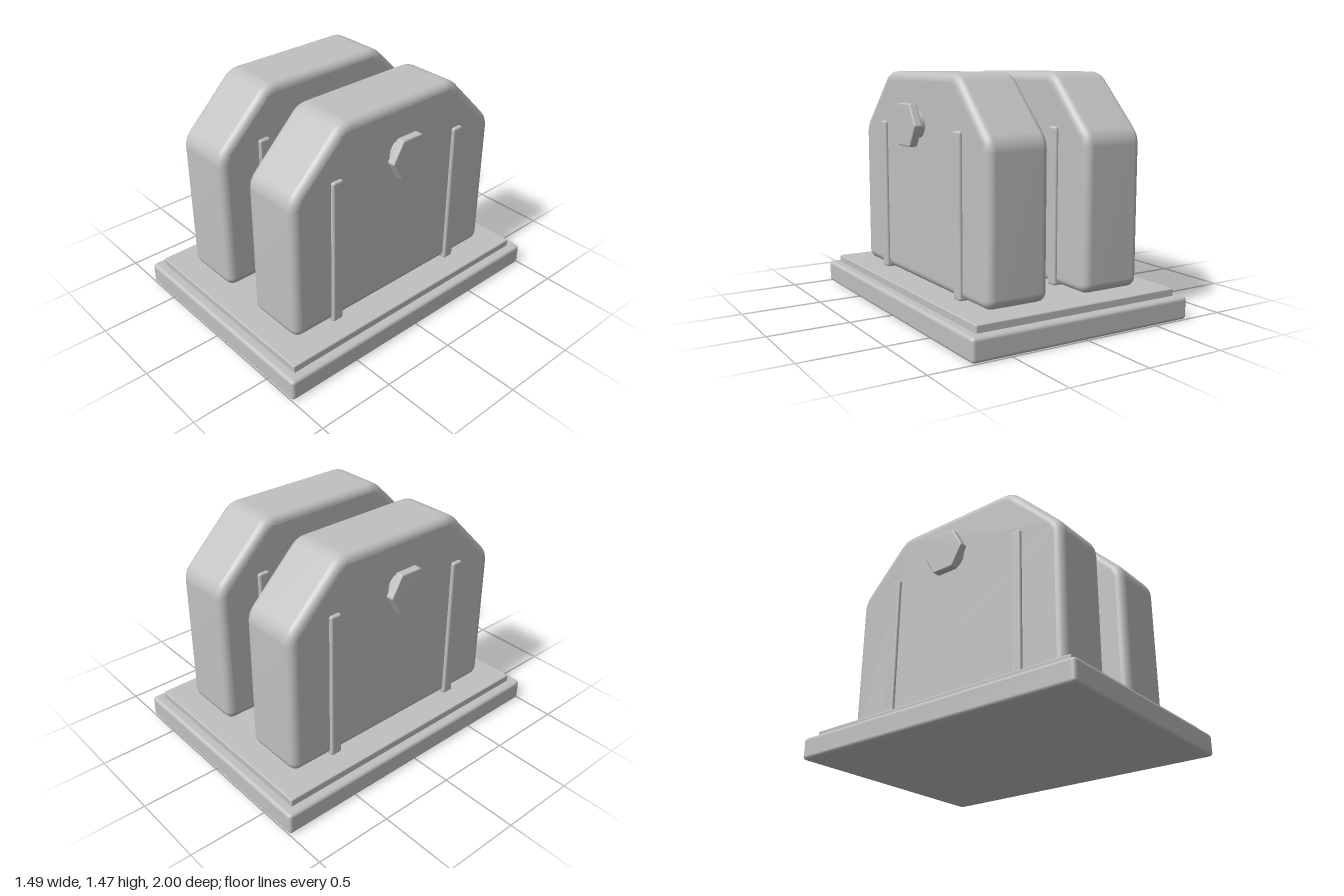
import * as THREE from 'three';
import { mergeVertices } from 'three/addons/utils/BufferGeometryUtils.js';
import { RoundedBoxGeometry } from 'three/addons/geometries/RoundedBoxGeometry.js';

const steel = new THREE.MeshStandardMaterial({ color: 0xc0c0c0 });
steel.name = 'grey steel';

function part(name, geometry, x = 0, y = 0, z = 0) {
  const mesh = new THREE.Mesh(geometry, steel);
  mesh.name = name;
  mesh.position.set(x, y, z);
  return mesh;
}

// Closed outline whose corners [x, y, cut] are rounded over the given cut length
function roundedShape(corners) {
  const shape = new THREE.Shape();
  const n = corners.length;
  corners.forEach(([x, y, cut], i) => {
    const corner = new THREE.Vector2(x, y);
    const toward = ([px, py]) =>
      new THREE.Vector2(px, py).sub(corner).setLength(cut).add(corner);
    const a = toward(corners[(i + n - 1) % n]);
    const b = toward(corners[(i + 1) % n]);
    if (i === 0) shape.moveTo(a.x, a.y);
    else shape.lineTo(a.x, a.y);
    shape.quadraticCurveTo(x, y, b.x, b.y);
  });
  shape.closePath();
  return shape;
}

// Bevelled slab, centred on x, with its outline in the z-y plane
function slab(shape, width, bevel, segments) {
  let geo = new THREE.ExtrudeGeometry(shape, {
    depth: width - 2 * bevel, bevelEnabled: true, bevelSize: bevel,
    bevelThickness: bevel, bevelSegments: segments, curveSegments: 5,
  });
  geo.translate(0, 0, bevel - width / 2);
  geo.rotateY(Math.PI / 2);
  // Weld so that the bevels blend smoothly into the flat faces
  geo.deleteAttribute('uv');
  geo.deleteAttribute('normal');
  geo = mergeVertices(geo, 1e-5);
  geo.computeVertexNormals();
  return geo;
}

export function createModel() {
  const model = new THREE.Group();
  model.name = 'twin cheek bracket';

  // Stepped base
  model.add(part('base', new RoundedBoxGeometry(1.485, 0.14, 2, 3, 0.022), 0, 0.07, 0));
  model.add(part('basePlate', new RoundedBoxGeometry(1.37, 0.055, 1.88, 2, 0.008), 0, 0.158, 0));

  // Cheek outline, inset by the bevel
  const cheekGeo = slab(roundedShape([
    [-0.75, 0.237, 0.012], [0.75, 0.237, 0.012], [0.75, 1.087, 0.04],
    [0.419, 1.418, 0.04], [-0.419, 1.418, 0.04], [-0.75, 1.087, 0.04],
  ]), 0.4, 0.05, 5);
  const ribGeo = new RoundedBoxGeometry(0.44, 0.965, 0.077, 3, 0.014);

  // Hexagonal nut with corners pointing along z
  const hex = [];
  for (let i = 0; i < 6; i++) {
    const a = (i * Math.PI) / 3;
    hex.push([0.138 * Math.cos(a), 0.138 * Math.sin(a), 0.004]);
  }
  const nutGeo = slab(roundedShape(hex), 0.052, 0.008, 3);

  for (const side of [1, -1]) {
    const label = side > 0 ? 'left' : 'right';
    model.add(part(label + 'Cheek', cheekGeo, side * 0.327, 0, 0));
    for (const end of [1, -1]) {
      const name = label + (end > 0 ? 'Front' : 'Back') + 'Rib';
      model.add(part(name, ribGeo, side * 0.327, 0.667, end * 0.485));
    }
    model.add(part(label + 'Nut', nutGeo, side * 0.602, 1.156, 0));
  }

  // Cross pin through both cheeks
  const pin = new THREE.CylinderGeometry(0.081, 0.081, 1.18, 40);
  pin.rotateZ(Math.PI / 2);
  model.add(part('pin', pin, 0, 1.156, 0));

  return model;
}
